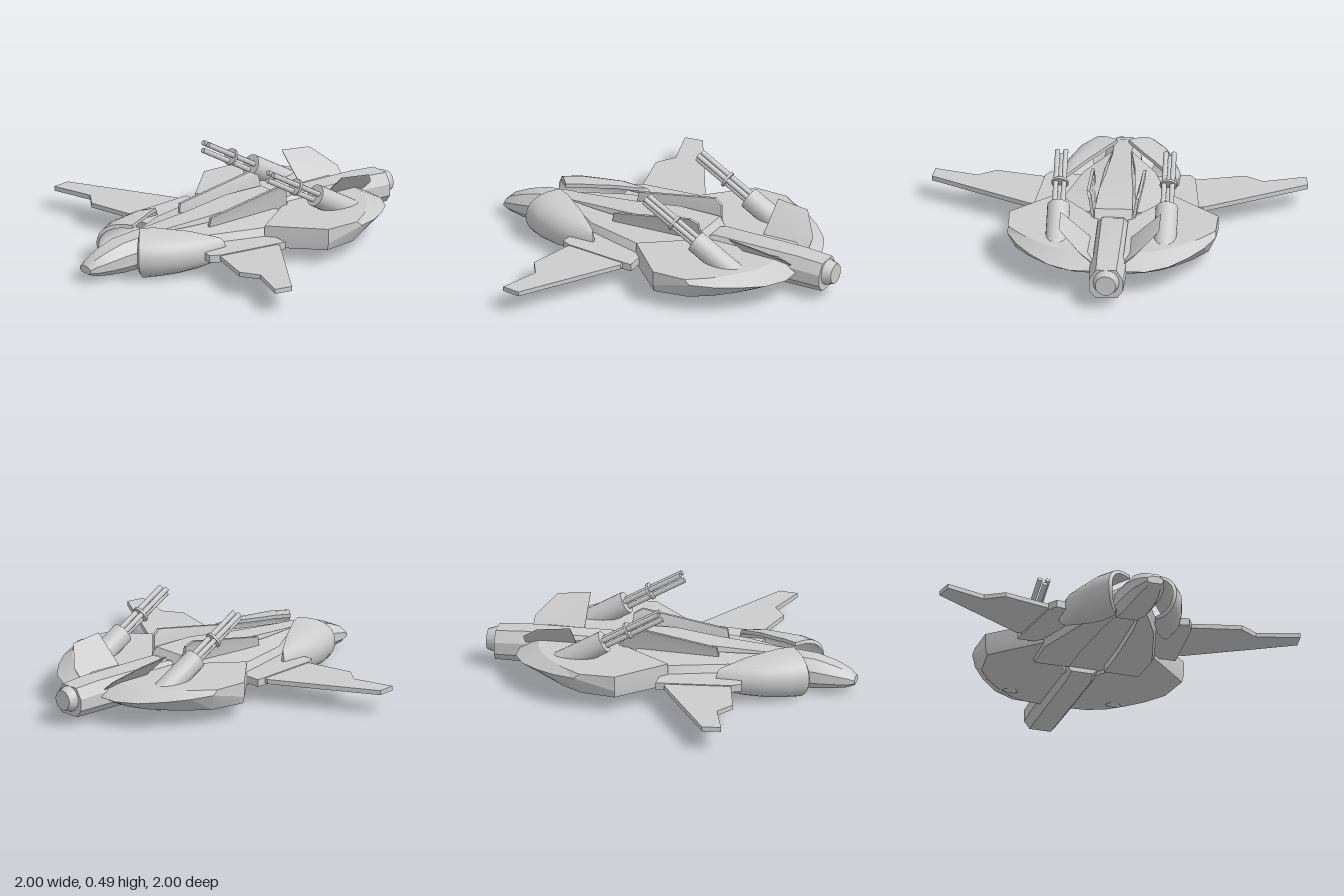
import * as THREE from 'three';
import { toCreasedNormals } from 'three/addons/utils/BufferGeometryUtils.js';

const material = new THREE.MeshStandardMaterial({ color: 0xcccccc, side: THREE.DoubleSide });

// Closed solid through loops of equal length; each end is capped by a strip across the loop.
function loft(loops, crease = 0.45) {
  const tris = [], n = loops[0].length;
  const quad = (a, b, c, d) => tris.push(a, b, c, a, c, d);
  for (let i = 0; i < loops.length - 1; i++) {
    const p = loops[i], q = loops[i + 1];
    for (let j = 0; j < n; j++) quad(p[j], p[(j + 1) % n], q[(j + 1) % n], q[j]);
  }
  const cap = (l) => {
    for (let j = 0; j < Math.floor(n / 2); j++) {
      if (j + 1 <= n - 2 - j) quad(l[j], l[j + 1], l[n - 2 - j], l[n - 1 - j]);
    }
  };
  cap([...loops[0]].reverse());
  cap(loops[loops.length - 1]);
  // Turn the faces outward, whichever way the loops run
  let volume = 0;
  const v = tris.map((p) => new THREE.Vector3(...p));
  for (let i = 0; i < v.length; i += 3) volume += v[i].dot(v[i + 1].clone().cross(v[i + 2]));
  if (volume < 0) for (let i = 0; i < v.length; i += 3) [v[i + 1], v[i + 2]] = [v[i + 2], v[i + 1]];
  return toCreasedNormals(new THREE.BufferGeometry().setFromPoints(v), crease);
}

const mirrorX = (loops, s) => loops.map((l) => l.map(([x, y, z]) => [s * x, y, z]));

// Eight-sided cross-section with a narrow top and chamfered belly
const octagon = (z, w, yb, yt, top = 0.5) => {
  const h = yt - yb;
  return [[top * w, yt, z], [w, yb + 0.65 * h, z], [w, yb + 0.25 * h, z], [0.65 * w, yb, z],
    [-0.65 * w, yb, z], [-w, yb + 0.25 * h, z], [-w, yb + 0.65 * h, z], [-top * w, yt, z]];
};

// Curved nose shell: [top x, top z, bottom x, outer x, outer z, top y, bottom y]
function cowlLoops() {
  const stations = [
    [0.03, 0.66, 0.11, 0.19, 0.78, 0.24, 0.0],
    [0.07, 0.59, 0.13, 0.25, 0.69, 0.24, 0.005],
    [0.12, 0.52, 0.16, 0.29, 0.57, 0.23, 0.012],
    [0.18, 0.44, 0.2, 0.32, 0.45, 0.22, 0.03],
    [0.27, 0.33, 0.26, 0.315, 0.3, 0.19, 0.06],
  ];
  const steps = 14;
  return stations.map(([xt, zt, xb, xo, zo, yt, yb]) => {
    const arc = (wall) => Array.from({ length: steps + 1 }, (_, i) => {
      const a = Math.PI * (0.5 - i / steps);
      const c = Math.pow(Math.max(0, Math.cos(a)), 0.7);
      const xi = i < steps / 2 ? xt : xb;
      const mid = (yt + yb) / 2, half = (yt - yb) / 2 - wall;
      return [xi + (xo - wall - xi) * c, mid + half * Math.sin(a), zt + (zo - zt) * c];
    });
    return [...arc(0), ...arc(0.02).reverse()];
  });
}

// Rear disc half: [rim x, rim z, rim y, top x, top z]
function discLoops() {
  const edge = [
    [0.08, -0.27, 0.14, 0.08, -0.27], [0.31, 0.04, 0.14, 0.31, 0.04],
    [0.555, -0.2, 0.12, 0.555, -0.2], [0.555, -0.42, 0.175, 0.552, -0.39],
    [0.5, -0.54, 0.165, 0.47, -0.5], [0.42, -0.65, 0.155, 0.385, -0.58],
    [0.32, -0.75, 0.145, 0.29, -0.65], [0.2, -0.81, 0.14, 0.19, -0.69],
    [0.08, -0.81, 0.14, 0.08, -0.7],
  ];
  return [
    edge.map(([, , , x, z], i) => [x * (i > 2 ? 0.93 : i === 2 ? 0.98 : 1), 0.08, z]),
    edge.map(([x, z, y]) => [x, y, z]),
    edge.map(([, , , x, z]) => [x, 0.2, z]),
  ];
}

// Flat plate from an outline, given thickness by an offset
const plate = (outline, [dx, dy, dz]) => [outline, outline.map(([x, y, z]) => [x + dx, y + dy, z + dz])];

export function createModel() {
  const model = new THREE.Group();
  const add = (name, geometry, parent = model) => {
    const mesh = new THREE.Mesh(geometry, material);
    mesh.name = name;
    parent.add(mesh);
    return mesh;
  };

  // Nose
  add('nose', loft([
    octagon(0.995, 0.045, 0.05, 0.09), octagon(0.96, 0.06, 0.037, 0.12), octagon(0.88, 0.083, 0.03, 0.155),
    octagon(0.78, 0.095, 0.025, 0.185), octagon(0.63, 0.1, 0.03, 0.2), octagon(0.5, 0.09, 0.06, 0.2),
  ], 0.6));

  // Canopy and centre body: [z, top half width, bottom half width, top y]
  add('canopy', loft([
    [0.62, 0.045, 0.07, 0.2], [0.25, 0.07, 0.11, 0.225], [0, 0.09, 0.13, 0.25], [-0.24, 0.1, 0.13, 0.245], [-0.27, 0.1, 0.13, 0.2],
  ].map(([z, t, b, y]) => [[t, y, z], [b, 0.1, z], [-b, 0.1, z], [-t, y, z]])));

  // Rear spine and engine nozzle
  add('spine', loft([
    octagon(-0.24, 0.09, 0.075, 0.2, 0.6), octagon(-0.3, 0.1, 0.05, 0.22, 0.6),
    octagon(-0.8, 0.095, 0.05, 0.22, 0.6), octagon(-0.95, 0.09, 0.05, 0.21, 0.6),
  ]));
  const nozzle = [[0, -0.8], [0.066, -0.8], [0.07, -0.955], [0.055, -1], [0, -1]].map(([r, z]) => new THREE.Vector2(r, -z));
  add('engineNozzle', toCreasedNormals(new THREE.LatheGeometry(nozzle, 16).rotateX(-Math.PI / 2), 0.45))
    .position.y = 0.14;

  for (const s of [1, -1]) {
    const side = s > 0 ? 'left' : 'right';
    const solid = (name, loops, crease) => add(side + name, loft(mirrorX(loops, s), crease));

    solid('Cowl', cowlLoops(), 0.6);
    solid('RearDisc', discLoops(), 0.25);

    // Hull flank: [z, inner x, outer top x, outer bottom x, outer top y]
    solid('HullFlank', [
      [0.6, 0.05, 0.08, 0.1, 0.17], [0.38, 0.08, 0.19, 0.215, 0.18],
      [0.03, 0.1, 0.285, 0.32, 0.18], [-0.17, 0.1, 0.28, 0.31, 0.18],
    ].map(([z, i, t, b, y]) => [[i, 0.2, z], [t, y, z], [b, 0.12, z], [b - 0.02, 0.06, z], [i, 0.06, z]]));

    // Swept wing with notched trailing edge
    solid('WingRoot', plate([[0.24, 0.1, 0], [0.44, 0.1, 0], [0.44, 0.1, 0.03], [0.4, 0.1, 0.4], [0.37, 0.1, 0.45],
      [0.2, 0.1, 0.42]], [0, 0.04, 0]));
    solid('WingPanel', plate([[0.38, 0.11, 0.06], [0.46, 0.11, 0.05], [0.74, 0.11, 0.215], [0.76, 0.11, 0.4],
      [0.66, 0.11, 0.465], [0.38, 0.11, 0.395]], [0, 0.025, 0]));
    solid('WingTip', plate([[0.74, 0.11, 0.215], [1, 0.11, 0.37], [0.985, 0.11, 0.47], [0.76, 0.11, 0.4]], [0, 0.025, 0]));

    // Long dorsal fin beside the canopy
    solid('DorsalFin', plate([[0.125, 0.19, 0.28], [0.13, 0.245, 0.27], [0.13, 0.325, -0.19], [0.117, 0.3, -0.235],
      [0.1, 0.19, -0.25]], [0.016, 0, 0]));

    // Canted tail fin
    solid('TailFin', plate([[0.08, 0.17, -0.5], [0.255, 0.325, -0.5], [0.255, 0.305, -0.68], [0.14, 0.215, -0.778],
      [0.08, 0.165, -0.778]], [0.012, 0.016, 0]));

    // Raised gun turret, built along +z and tilted up
    const gun = new THREE.Group();
    gun.name = side + 'Gun';
    gun.position.set(0.288 * s, 0.29, -0.31);
    gun.rotation.x = -Math.PI / 6;
    model.add(gun);
    const tube = (name, r, length, x, y, z, sides) => {
      const mesh = add(name, new THREE.CylinderGeometry(r, r, length, sides).rotateX(Math.PI / 2), gun);
      mesh.position.set(x, y, z);
    };
    tube('gunPod', 0.06, 0.35, 0, 0, -0.175, 20);
    tube('barrelBand', 0.046, 0.014, 0, 0, 0.15, 16);
    for (let i = 0; i < 3; i++) {
      const a = Math.PI / 6 + (i * Math.PI * 2) / 3;
      tube('gunBarrel', 0.014, 0.38, 0.025 * Math.cos(a), 0.025 * Math.sin(a), 0.16, 10);
    }
  }
  return model;
}
